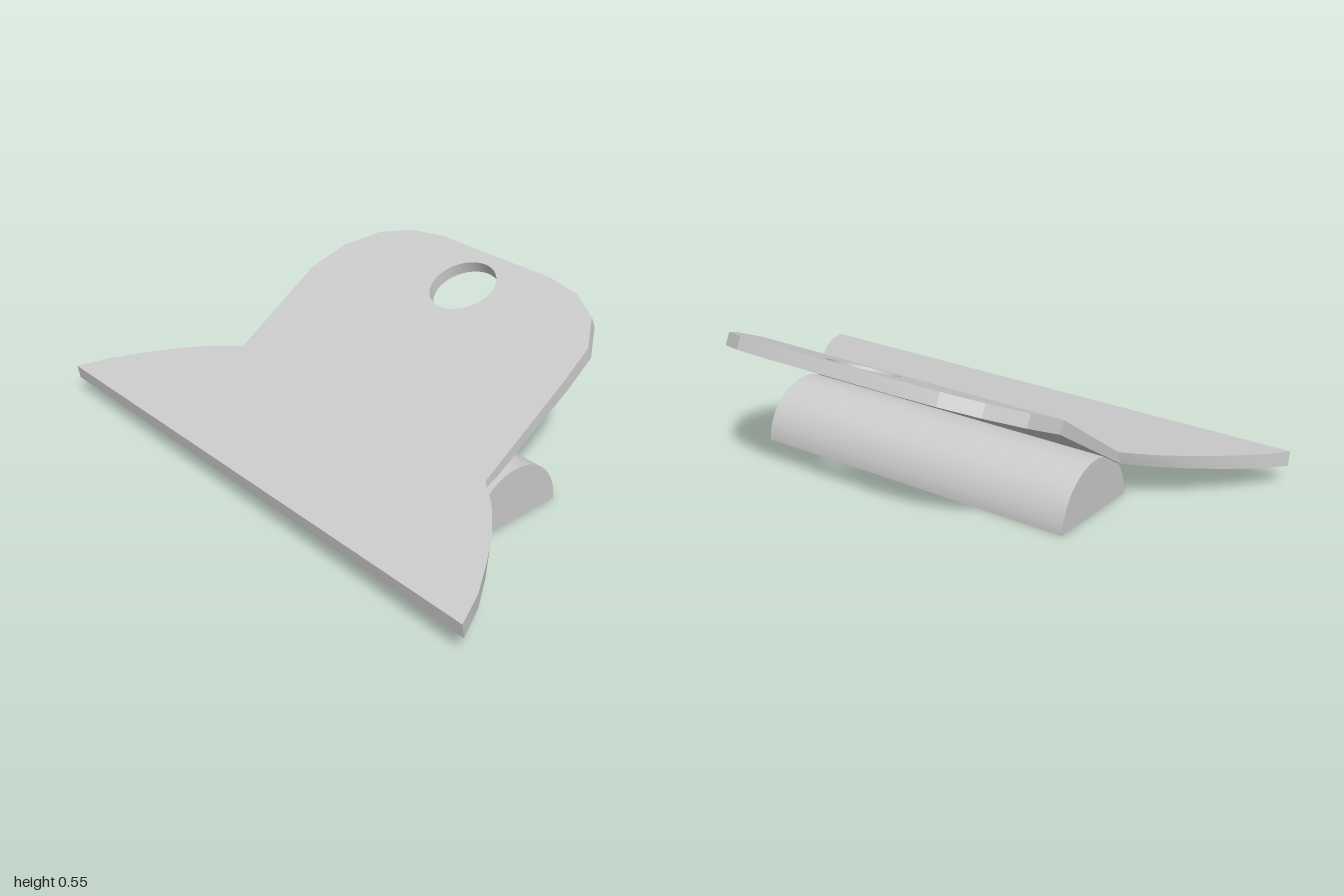
import * as THREE from 'three';
import { toCreasedNormals } from 'three/addons/utils/BufferGeometryUtils.js';

const material = new THREE.MeshStandardMaterial({ color: 0xcccccc, side: THREE.DoubleSide });

// Side profile of the bent sheet as [z, y], from front edge to back edge
const topLine = [[0.585, 0.12], [0.105, 0.182], [-0.235, 0.405], [-0.567, 0.546]];
const bottomLine = [[0.577, 0.07], [0.12, 0.137], [-0.255, 0.365], [-0.585, 0.505]];

// Half outlines of the panels as [half width, fraction along the panel]
const panels = [
  { name: 'frontFlange', half: [[1, 0], [0.95, 0.23], [0.88, 0.45], [0.8, 0.67], [0.71, 0.86], [0.62, 1]] },
  { name: 'slopingPanel', half: [[0.62, 0], [0.62, 1]] },
  { name: 'hangingTab', half: [[0.62, 0], [0.595, 0.42], [0.515, 0.75], [0.4, 0.93], [0.26, 1]], hole: true },
];

function line(points, i, t) {
  const [a, b] = [points[i], points[i + 1]];
  return [a[0] + (b[0] - a[0]) * t, a[1] + (b[1] - a[1]) * t];
}

// Extrude a mirrored flat outline, then lay it between the two profile lines
function makePanel({ name, half, hole }, i) {
  const right = half.map(([x, t]) => new THREE.Vector2(x, t));
  const left = half.map(([x, t]) => new THREE.Vector2(-x, t)).reverse();
  const shape = new THREE.Shape([...right, ...left]);
  if (hole) shape.holes.push(new THREE.Path().absellipse(0, 0.525, 0.12, 0.335, 0, Math.PI * 2, true));

  const geometry = new THREE.ExtrudeGeometry(shape, { depth: 1, bevelEnabled: false, curveSegments: 32 });
  const p = geometry.attributes.position;
  for (let k = 0; k < p.count; k++) {
    const t = p.getY(k), w = p.getZ(k);
    const lo = line(bottomLine, i, t), hi = line(topLine, i, t);
    p.setXYZ(k, p.getX(k), lo[1] + (hi[1] - lo[1]) * w, lo[0] + (hi[0] - lo[0]) * w);
  }
  const mesh = new THREE.Mesh(toCreasedNormals(geometry, 0.25), material);
  mesh.name = name;
  return mesh;
}

export function createModel() {
  const model = new THREE.Group();
  model.name = 'bentPlateClip';

  // Bent sheet, sitting very slightly askew
  const plate = new THREE.Group();
  plate.name = 'bentPlate';
  panels.forEach((panel, i) => plate.add(makePanel(panel, i)));
  plate.rotation.set(0, -0.003, 0.003);
  model.add(plate);

  // Half-round base: capped at both ends, open underneath
  const base = new THREE.Mesh(
    new THREE.CylinderGeometry(0.19, 0.19, 1.245, 32, 1, false, 0, Math.PI).rotateZ(Math.PI / 2),
    material
  );
  base.name = 'halfRoundBase';
  base.position.set(0.018, 0, -0.008);
  model.add(base);

  return model;
}
